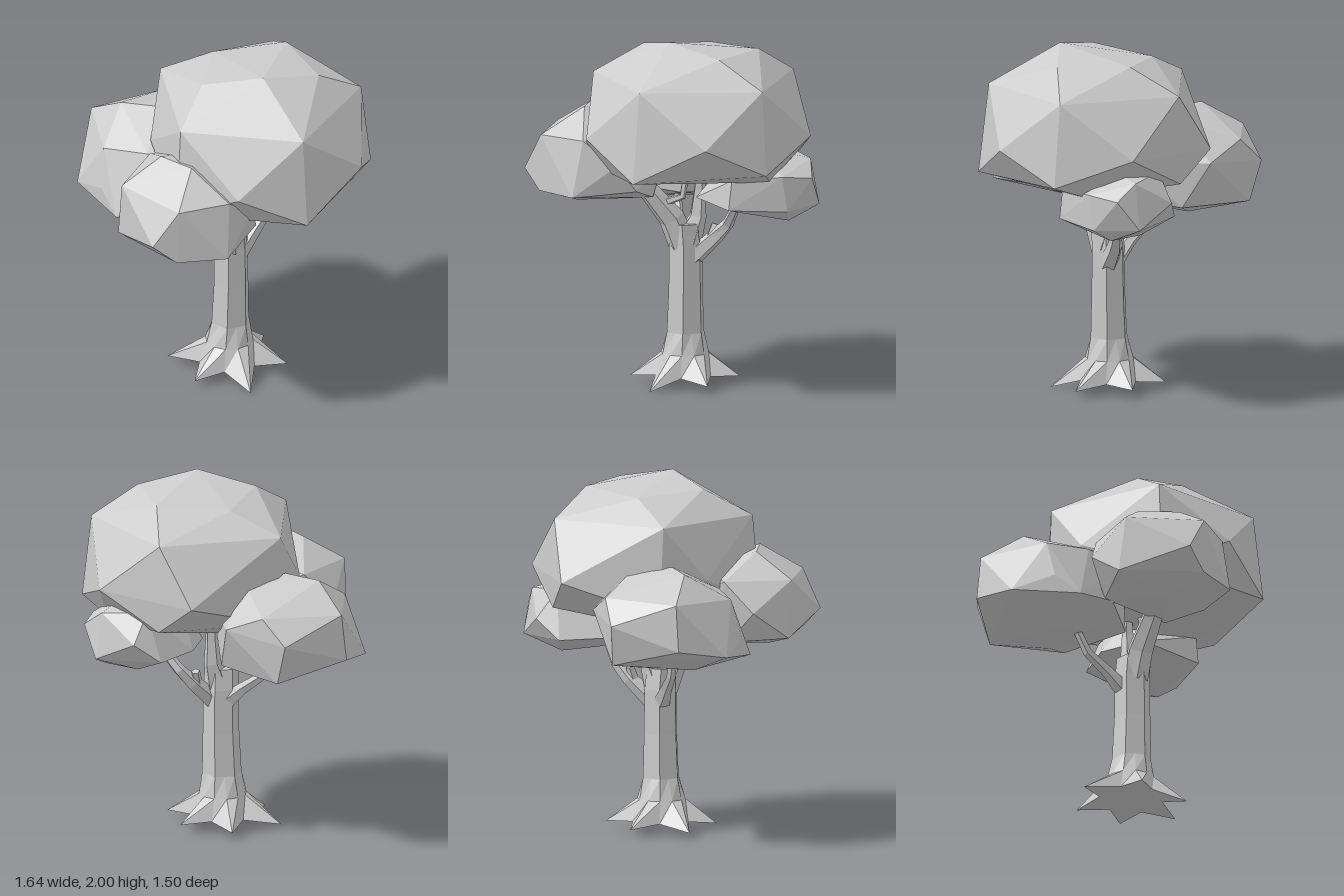
import * as THREE from 'three';
import { ConvexGeometry } from 'three/addons/geometries/ConvexGeometry.js';

const clay = new THREE.MeshStandardMaterial({ color: 0xcccccc, flatShading: true });
clay.name = 'paleGrey';

// Joins equal-length rings of points into a faceted skin, capped at both ends
function loft(rings) {
  const n = rings[0].length;
  const pos = [], idx = [];
  rings.forEach(r => r.forEach(p => pos.push(p.x, p.y, p.z)));
  for (let k = 0; k < rings.length - 1; k++) {
    for (let i = 0; i < n; i++) {
      const a = k * n + i, b = k * n + (i + 1) % n;
      idx.push(a, a + n, b, b, a + n, b + n);
    }
  }
  [0, rings.length - 1].forEach(k => {
    const c = new THREE.Vector3();
    rings[k].forEach(p => c.addScaledVector(p, 1 / n));
    const m = pos.length / 3;
    pos.push(c.x, c.y + (k ? 0 : 0.04), c.z);
    for (let i = 0; i < n; i++) {
      const a = k * n + i, b = k * n + (i + 1) % n;
      if (k) idx.push(a, m, b); else idx.push(a, b, m);
    }
  });
  const g = new THREE.BufferGeometry();
  g.setAttribute('position', new THREE.Float32BufferAttribute(pos, 3));
  g.setIndex(idx);
  const flat = g.toNonIndexed();
  flat.computeVertexNormals();
  return flat;
}

// Trunk ring: six corners with the middle of each side between them
function trunkRing(x, y, z, r, side = 0.866) {
  return Array.from({ length: 12 }, (_, i) => {
    const a = i * Math.PI / 6, d = i % 2 ? r : r * side;
    return new THREE.Vector3(x + d * Math.cos(a), y, z + d * Math.sin(a));
  });
}

// Tapered limb along points [x, y, z, radius]
function limb(path, sides = 5) {
  const pts = path.map(p => new THREE.Vector3(p[0], p[1], p[2]));
  return loft(pts.map((p, k) => {
    const t = pts[Math.min(k + 1, pts.length - 1)].clone().sub(pts[Math.max(k - 1, 0)]).normalize();
    const q = new THREE.Quaternion().setFromUnitVectors(new THREE.Vector3(0, 1, 0), t);
    return Array.from({ length: sides }, (_, i) => {
      const a = i / sides * Math.PI * 2, r = path[k][3];
      return new THREE.Vector3(r * Math.cos(a), 0, r * Math.sin(a)).applyQuaternion(q).add(p);
    });
  }));
}

// Faceted leaf mass around a few corner points
const crown = pts => new ConvexGeometry(pts.map(p => new THREE.Vector3(...p)));

export function createModel() {
  const tree = new THREE.Group();
  tree.name = 'tree';
  const add = (name, geometry) => {
    const m = new THREE.Mesh(geometry, clay);
    m.name = name;
    tree.add(m);
  };

  // Trunk with a star of six roots
  const tipLength = [0.33, 0.33, 0.31, 0.35, 0.32, 0.31];
  const tipHeight = [0.04, 0, 0.04, 0.03, 0.04, 0.05];
  const roots = Array.from({ length: 12 }, (_, i) => {
    const a = i * Math.PI / 6, k = i / 2;
    const d = i % 2 ? 0.18 : tipLength[k];
    return new THREE.Vector3(0.04 + d * Math.cos(a), i % 2 ? 0.06 : tipHeight[k], -0.1 + d * Math.sin(a));
  });
  add('trunk', loft([
    roots,
    trunkRing(0.04, 0.18, -0.1, 0.135, 1),
    trunkRing(0.045, 0.3, -0.1, 0.112),
    trunkRing(0.05, 0.55, -0.1, 0.103),
    trunkRing(0.05, 0.8, -0.1, 0.1),
    trunkRing(0.05, 0.92, -0.09, 0.095),
  ]));

  // Branches
  add('frontBranch', limb([[0.05, 0.8, -0.08, 0.08], [0.04, 0.95, -0.02, 0.075], [0.02, 1.1, 0.1, 0.06], [0, 1.2, 0.2, 0.045]], 6));
  add('topBranch', limb([[0.06, 0.82, -0.11, 0.08], [0.08, 0.96, -0.16, 0.05], [0.08, 1.1, -0.17, 0.035], [0.08, 1.28, -0.18, 0.03]]));
  add('rightBranch', limb([[-0.01, 0.74, -0.12, 0.05], [-0.1, 0.82, -0.14, 0.035], [-0.22, 0.91, -0.17, 0.027], [-0.3, 1.06, -0.19, 0.022]]));
  add('leftBranch', limb([[0.09, 0.73, -0.13, 0.055], [0.17, 0.85, -0.23, 0.045], [0.23, 0.93, -0.28, 0.034], [0.36, 1.08, -0.29, 0.022]]));
  add('branchStub', limb([[0.15, 0.84, -0.21, 0.03], [0.15, 0.92, -0.24, 0.025]]));
  add('crownTwig', limb([[0.05, 1.04, 0.04, 0.025], [0.1, 1.08, -0.06, 0.02], [0.1, 1.2, -0.08, 0.02]]));

  // Leaf masses
  add('mainCrown', crown([
    [0.26, 2, 0.085], [0.545, 1.935, -0.1], [0.31, 1.935, -0.435], [-0.085, 1.91, -0.31], [-0.085, 1.935, 0.1],
    [0.76, 1.78, -0.27], [0.53, 1.78, 0.38], [-0.165, 1.78, 0.37], [-0.38, 1.78, -0.3], [0.2, 1.78, -0.69],
    [0.575, 1.47, -0.64], [0.82, 1.48, 0.1], [0.19, 1.47, 0.56], [-0.395, 1.47, -0.03], [-0.015, 1.45, -0.755],
    [0.815, 1.31, -0.27], [0.56, 1.27, 0.43], [-0.18, 1.27, 0.41], [-0.37, 1.28, -0.32], [0.2, 1.28, -0.7],
    [0.63, 1.235, -0.37], [0.22, 1.2, 0.2], [0.2, 1.17, -0.1], [-0.1, 1.19, -0.3],
  ]));
  add('rightCrown', crown([
    [-0.6, 1.55, -0.28], [-0.39, 1.56, -0.25], [-0.2, 1.53, -0.4], [-0.79, 1.41, -0.43], [-0.66, 1.4, -0.02],
    [-0.4, 1.42, 0.04], [-0.15, 1.4, 0.04], [-0.41, 1.42, -0.68], [-0.18, 1.32, -0.64], [-0.56, 1.28, -0.72],
    [0.04, 1.3, -0.25], [-0.825, 1.1, -0.13], [-0.82, 1.15, -0.43], [-0.66, 1.18, 0.05], [-0.56, 1.06, 0.155],
    [-0.3, 1.1, 0.13], [-0.5, 1.05, -0.68], [-0.1, 1.06, -0.5], [0, 1.08, -0.1], [-0.46, 0.98, -0.15], [-0.3, 0.99, -0.4],
  ]));
  add('frontCrown', crown([
    [-0.28, 1.59, 0.335], [-0.09, 1.6, 0.455], [-0.05, 1.52, 0.12], [-0.485, 1.45, 0.45], [-0.125, 1.45, 0.705],
    [0.14, 1.45, 0.56], [-0.38, 1.45, 0.08], [0.245, 1.31, 0.4], [-0.515, 1.28, 0.195], [-0.265, 1.24, 0.745],
    [0, 1.3, 0], [0.25, 1.16, 0.28], [-0.51, 1.125, 0.42], [0.14, 1.13, 0.625], [-0.135, 1.13, 0.71],
    [-0.35, 1.1, 0.12], [0.1, 1.09, 0.12], [-0.18, 1.05, 0.46],
  ]));
  add('backCrown', crown([
    [0.48, 1.4, -0.4], [0.56, 1.34, -0.645], [0.3, 1.36, -0.62], [0.69, 1.27, -0.42], [0.68, 1.25, -0.605],
    [0.335, 1.2, -0.735], [0.2, 1.3, -0.3], [0.58, 1.25, -0.16], [0.69, 1.07, -0.45], [0.58, 1.08, -0.69],
    [0.2, 1.09, -0.66], [0.58, 1.08, -0.14], [0.15, 1.08, -0.12], [0.1, 1.1, -0.42],
    [0.59, 1, -0.5], [0.33, 1.015, -0.33], [0.38, 1, -0.55],
  ]));
  return tree;
}
